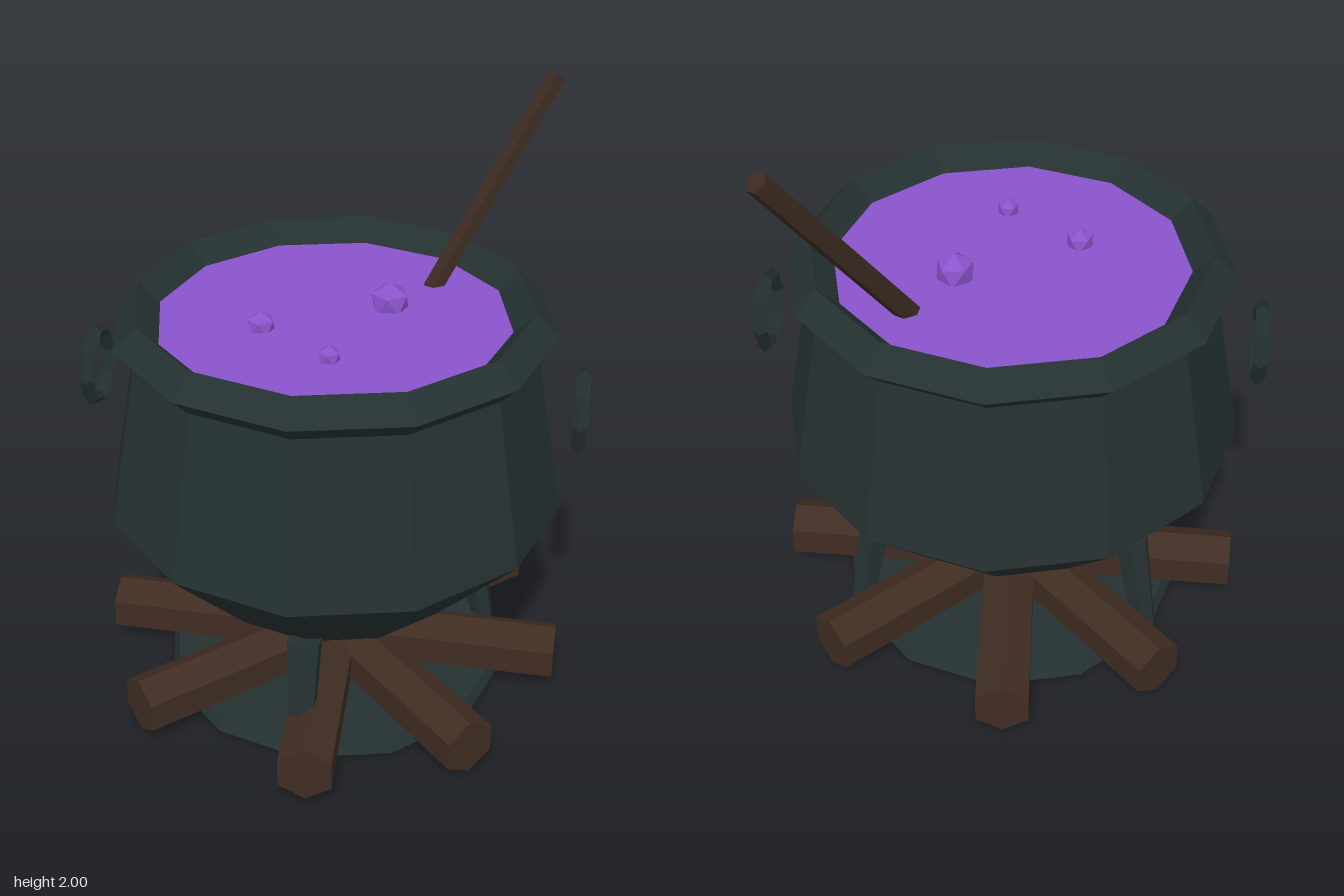
import * as THREE from 'three';

const material = (name, color) => {
  const m = new THREE.MeshStandardMaterial({ color });
  m.name = name;
  return m;
};

export function createModel() {
  const group = new THREE.Group();
  const iron = material('dark iron', 0x253131);
  const wood = material('log wood', 0x402d22);
  const stickWood = material('stick wood', 0x3b2a20);
  const potion = material('purple potion', 0x8a54cc);

  // Faceted mesh: unshared corners give flat normals
  const add = (name, geometry, mat, x = 0, y = 0, z = 0) => {
    const g = geometry.index ? geometry.toNonIndexed() : geometry;
    g.computeVertexNormals();
    const mesh = new THREE.Mesh(g, mat);
    mesh.name = name;
    mesh.position.set(x, y, z);
    group.add(mesh);
    return mesh;
  };

  // Tapered bar between two points
  const bar = (name, from, to, rFrom, rTo, sides, mat) => {
    const dir = to.clone().sub(from);
    const mesh = add(name, new THREE.CylinderGeometry(rTo, rFrom, dir.length(), sides), mat);
    mesh.position.copy(from).add(to).multiplyScalar(0.5);
    mesh.quaternion.setFromUnitVectors(new THREE.Vector3(0, 1, 0), dir.normalize());
    return mesh;
  };

  // Pot body with closed bottom, and the diamond-section rim
  const profile = [[0, 0.39], [0.45, 0.39], [0.76, 0.72], [0.655, 1.3]]
    .map(([r, y]) => new THREE.Vector2(r, y));
  add('potBody', new THREE.LatheGeometry(profile, 12), iron);
  add('potRim', new THREE.TorusGeometry(0.645, 0.075, 4, 12).rotateX(Math.PI / 2), iron, 0, 1.345, 0);

  // Potion surface and bubbles
  add('potion', new THREE.CylinderGeometry(0.58, 0.58, 0.03, 12), potion, 0, 1.335, 0);
  for (const [x, y, z, r] of [[0.165, 1.37, -0.105, 0.067], [-0.21, 1.36, 0.12, 0.049], [0.04, 1.36, 0.285, 0.039]]) {
    const ball = new THREE.IcosahedronGeometry(r, 0).rotateX(-Math.atan((1 + Math.sqrt(5)) / 2));
    add('bubble', ball, potion, x, y, z);
  }

  // Stirring stick
  bar('stirringStick', new THREE.Vector3(0.2, 1.19, -0.225), new THREE.Vector3(0.622, 1.982, -0.622),
    0.036, 0.036, 6, stickWood);

  // Ring handles
  for (const side of [-1, 1]) {
    add('ringHandle', new THREE.TorusGeometry(0.122, 0.023, 4, 8).rotateY(Math.PI / 2), iron, side * 0.807, 1.095, 0);
  }

  // Three splayed legs
  for (let i = 0; i < 3; i++) {
    const a = (i * Math.PI * 2) / 3;
    const at = (r, y) => new THREE.Vector3(Math.sin(a) * r, y, Math.cos(a) * r);
    bar('leg', at(0.58, 0.015), at(0.5, 0.43), 0.04, 0.06, 6, iron);
  }

  // Base plate
  add('basePlate', new THREE.CylinderGeometry(0.57, 0.59, 0.035, 12), iron, 0, 0.032, 0);

  // Four crossed hexagonal logs
  for (const degrees of [0, 45, 94, 135]) {
    const log = new THREE.CylinderGeometry(0.1, 0.1, 1.565, 6);
    log.rotateY(Math.PI / 2).rotateZ(Math.PI / 2);
    // one corner points straight up
    log.rotateX(0);
    add('log', log, wood, 0, 0.12, 0).rotation.y = THREE.MathUtils.degToRad(degrees);
  }

  return group;
}
